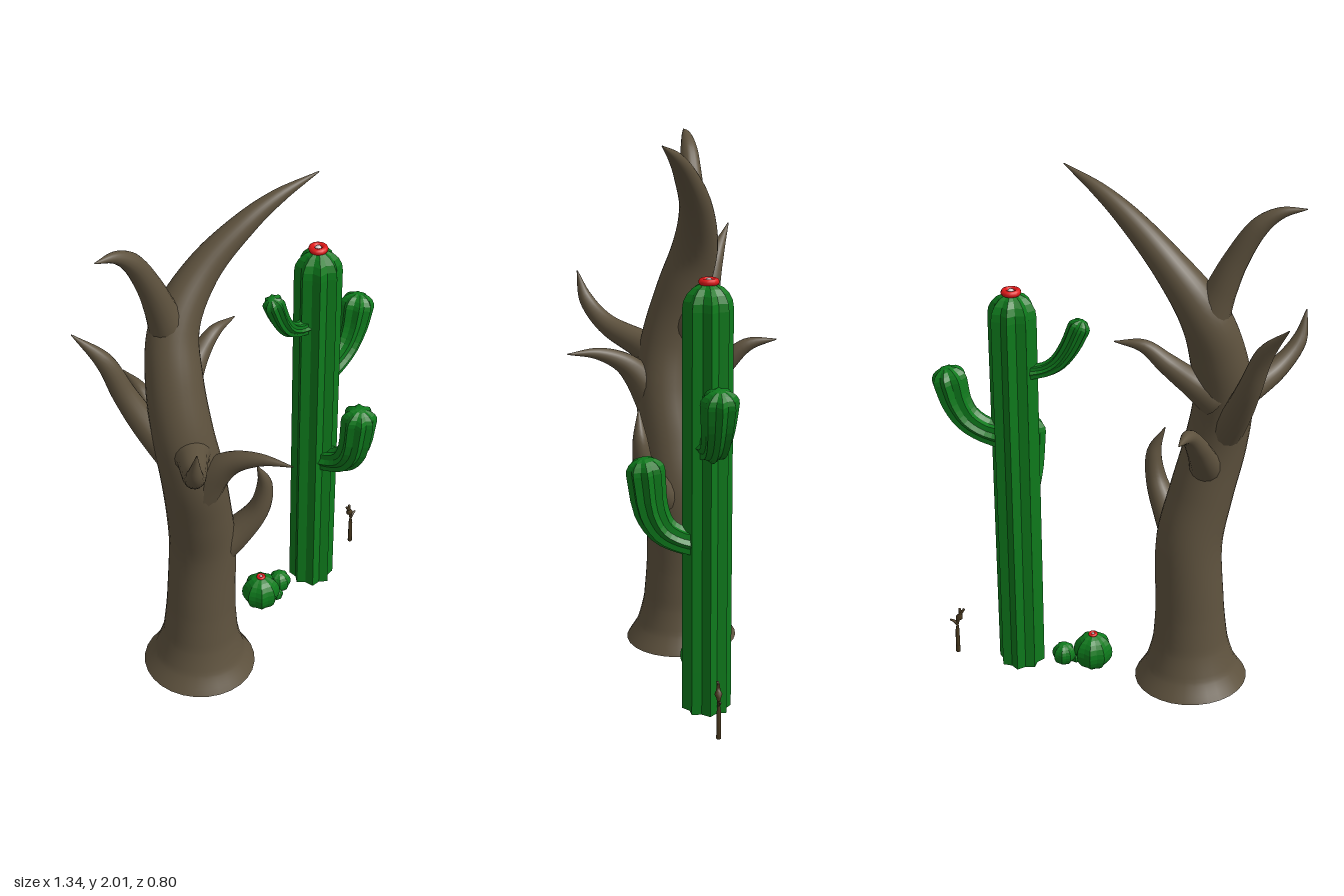
import * as THREE from 'three';

const bark = new THREE.MeshStandardMaterial({ color: 0x5e523e, side: THREE.DoubleSide });
const green = new THREE.MeshStandardMaterial({ color: 0x0e7a1c, flatShading: true });
const red = new THREE.MeshStandardMaterial({ color: 0xe01818 });
const pale = new THREE.MeshStandardMaterial({ color: 0xd8d0d0 });
const twigBrown = new THREE.MeshStandardMaterial({ color: 0x4a3a20 });

// Sweep a round (or ribbed) section along points [x, y, z, radius].
// rib scales every second corner; dome rounds off the end; cap closes the start.
function sweep(points, { sides = 16, steps = 6, rib = 1, dome = 0, cap = false } = {}) {
  const path = new THREE.CatmullRomCurve3(points.map(p => new THREE.Vector3(p[0], p[1], p[2])));
  const radii = new THREE.CatmullRomCurve3(points.map(p => new THREE.Vector3(p[3], 0, 0)));
  const count = (points.length - 1) * steps;
  const rings = [];
  for (let i = 0; i <= count; i++) {
    const t = i / count;
    rings.push({ c: path.getPoint(t), d: path.getTangent(t), r: Math.max(radii.getPoint(t).x, 0.0005) });
  }
  const end = rings[count];
  if (dome) {
    for (let k = 1; k <= 5; k++) {
      const a = k / 5 * Math.PI / 2;
      rings.push({ c: end.c.clone().addScaledVector(end.d, dome * Math.sin(a)), d: end.d, r: end.r * Math.cos(a) + 0.0005 });
    }
  }
  if (cap) rings.unshift({ c: rings[0].c, d: rings[0].d, r: 0.0005 });

  // Start from the axis most square to the path, then carry it along
  const d0 = rings[0].d;
  const n = [new THREE.Vector3(0, 0, 1), new THREE.Vector3(1, 0, 0), new THREE.Vector3(0, 1, 0)]
    .sort((a, b) => Math.abs(a.dot(d0)) - Math.abs(b.dot(d0)))[0];
  const pos = [], index = [], b = new THREE.Vector3();
  rings.forEach(({ c, d, r }, i) => {
    n.addScaledVector(d, -n.dot(d)).normalize();
    b.crossVectors(d, n);
    for (let j = 0; j < sides; j++) {
      const a = j / sides * Math.PI * 2, s = r * (j % 2 ? rib : 1);
      const p = c.clone().addScaledVector(n, s * Math.cos(a)).addScaledVector(b, s * Math.sin(a));
      pos.push(p.x, p.y, p.z);
      if (i < rings.length - 1) {
        const k = (j + 1) % sides, o = i * sides;
        index.push(o + j, o + k, o + sides + j, o + k, o + sides + k, o + sides + j);
      }
    }
  });
  const g = new THREE.BufferGeometry();
  g.setAttribute('position', new THREE.Float32BufferAttribute(pos, 3));
  g.setIndex(index);
  g.computeVertexNormals();
  return g;
}

function add(parent, name, geometry, material, x = 0, y = 0, z = 0) {
  const m = new THREE.Mesh(geometry, material);
  m.name = name;
  m.position.set(x, y, z);
  parent.add(m);
  return m;
}

function group(parent, name) {
  const g = new THREE.Group();
  g.name = name;
  parent.add(g);
  return g;
}

// Ribbed ball: every second meridian is pulled in
function ribbedBall(r) {
  const g = new THREE.SphereGeometry(r, 16, 12), p = g.attributes.position;
  for (let i = 0; i < p.count; i++) {
    if (i % 17 % 2) p.setXYZ(i, p.getX(i) * 0.88, p.getY(i), p.getZ(i) * 0.88);
  }
  return g;
}

function flower(parent, r, x, y, z) {
  const f = group(parent, 'flower');
  add(f, 'petals', new THREE.TorusGeometry(r * 0.68, r * 0.34, 8, 16).rotateX(Math.PI / 2), red, x, y, z);
  add(f, 'flowerCentre', new THREE.SphereGeometry(r * 0.36, 10, 8), pale, x, y, z);
}

export function createModel() {
  const model = new THREE.Group();
  model.name = 'desertPlants';

  // Bare tree: the trunk runs on into its main limb
  const tree = group(model, 'deadTree');
  add(tree, 'trunk', sweep([
    [-0.305, 0, -0.035, 0.215], [-0.303, 0.07, -0.033, 0.172], [-0.3, 0.17, -0.03, 0.143],
    [-0.295, 0.32, -0.028, 0.13], [-0.287, 0.6, -0.022, 0.124], [-0.325, 0.8, 0.0, 0.118],
    [-0.37, 1.0, 0.018, 0.114], [-0.393, 1.18, 0.0, 0.108], [-0.375, 1.38, -0.05, 0.1],
    [-0.325, 1.55, -0.09, 0.087], [-0.2, 1.72, -0.075, 0.062], [-0.05, 1.86, -0.015, 0.042],
    [0.06, 1.935, 0.035, 0.026], [0.192, 1.998, 0.1, 0.002]], { sides: 28 }), bark);

  const branches = {
    upperLeftBranch: [[-0.33, 1.5, -0.09, 0.08], [-0.38, 1.64, -0.095, 0.056], [-0.43, 1.76, -0.095, 0.044],
      [-0.505, 1.885, -0.095, 0.034], [-0.575, 1.937, -0.095, 0.02], [-0.66, 1.955, -0.095, 0.002]],
    backLeftBranch: [[-0.4, 1.06, -0.02, 0.07], [-0.46, 1.2, -0.11, 0.052], [-0.5, 1.32, -0.165, 0.043],
      [-0.55, 1.47, -0.205, 0.032], [-0.63, 1.59, -0.268, 0.002]],
    frontLeftBranch: [[-0.38, 1.12, 0.02, 0.085], [-0.46, 1.16, 0.11, 0.055], [-0.57, 1.215, 0.225, 0.04],
      [-0.64, 1.3, 0.295, 0.028], [-0.66, 1.41, 0.327, 0.002]],
    frontBranch: [[-0.37, 0.94, 0.05, 0.08], [-0.355, 1.05, 0.12, 0.058], [-0.335, 1.115, 0.185, 0.04],
      [-0.305, 1.16, 0.285, 0.022], [-0.27, 1.17, 0.4, 0.002]],
    rightBranch: [[-0.37, 1.22, -0.05, 0.075], [-0.28, 1.29, -0.08, 0.048], [-0.2, 1.36, -0.1, 0.037],
      [-0.12, 1.42, -0.1, 0.024], [-0.015, 1.43, -0.1, 0.002]],
    backBranch: [[-0.35, 0.9, -0.01, 0.075], [-0.34, 0.99, -0.11, 0.052], [-0.325, 1.09, -0.2, 0.04],
      [-0.305, 1.175, -0.29, 0.026], [-0.285, 1.198, -0.4, 0.002]],
    lowerRightBranch: [[-0.27, 0.56, 0.0, 0.085], [-0.19, 0.66, 0.08, 0.056], [-0.14, 0.76, 0.13, 0.04],
      [-0.128, 0.87, 0.145, 0.028], [-0.168, 0.975, 0.145, 0.002]]
  };
  for (const name in branches) add(tree, name, sweep(branches[name]), bark);

  // Tall cactus: ribbed column, three arms and a flower
  const cactus = group(model, 'tallCactus');
  const rib = 0.8;
  add(cactus, 'column', sweep([[0.362, 0, -0.032, 0.089], [0.362, 1.47, -0.032, 0.089]],
    { rib, dome: 0.09, cap: true, steps: 4 }), green);
  const arms = {
    leftArm: [[0.38, 0.99, -0.035, 0.06], [0.47, 1.005, -0.035, 0.05], [0.54, 1.05, -0.035, 0.053],
      [0.58, 1.12, -0.035, 0.06], [0.6, 1.2, -0.035, 0.067]],
    rightArm: [[0.32, 1.255, -0.035, 0.034], [0.25, 1.268, -0.035, 0.029], [0.2, 1.3, -0.035, 0.032],
      [0.155, 1.365, -0.035, 0.037], [0.122, 1.44, -0.035, 0.041]],
    frontArm: [[0.362, 0.63, -0.01, 0.058], [0.362, 0.645, 0.06, 0.05], [0.362, 0.685, 0.125, 0.054],
      [0.362, 0.76, 0.165, 0.062], [0.362, 0.9, 0.184, 0.069]]
  };
  for (const name in arms) add(cactus, name, sweep(arms[name], { rib, steps: 3, dome: name === 'rightArm' ? 0.035 : 0.053 }), green);
  flower(cactus, 0.036, 0.362, 1.563, -0.035);

  // Cluster of small round cacti
  const cluster = group(model, 'roundCacti');
  [[0.075, 0.078, -0.053, 0.076], [0.19, 0.052, -0.055, 0.046], [0.145, 0.026, -0.03, 0.026]]
    .forEach(([x, y, z, r]) => add(cluster, 'roundCactus', ribbedBall(r), green, x, y, z));
  flower(cluster, 0.018, 0.075, 0.154, -0.053);

  // Dry twig with two stubs
  const twig = group(model, 'twig');
  const thin = { sides: 7, steps: 2, dome: 0.003, cap: true };
  add(twig, 'twigStem', sweep([[0.62, 0, -0.035, 0.009], [0.619, 0.1, -0.035, 0.008], [0.615, 0.15, -0.035, 0.008],
    [0.604, 0.175, -0.035, 0.008], [0.607, 0.2, -0.035, 0.005]], thin), twigBrown);
  add(twig, 'twigStub', sweep([[0.617, 0.128, -0.035, 0.007], [0.63, 0.14, -0.035, 0.006], [0.644, 0.146, -0.035, 0.004]], thin), twigBrown);
  add(twig, 'twigTipStub', sweep([[0.604, 0.18, -0.035, 0.007], [0.59, 0.2, -0.035, 0.005]], thin), twigBrown);

  return model;
}
